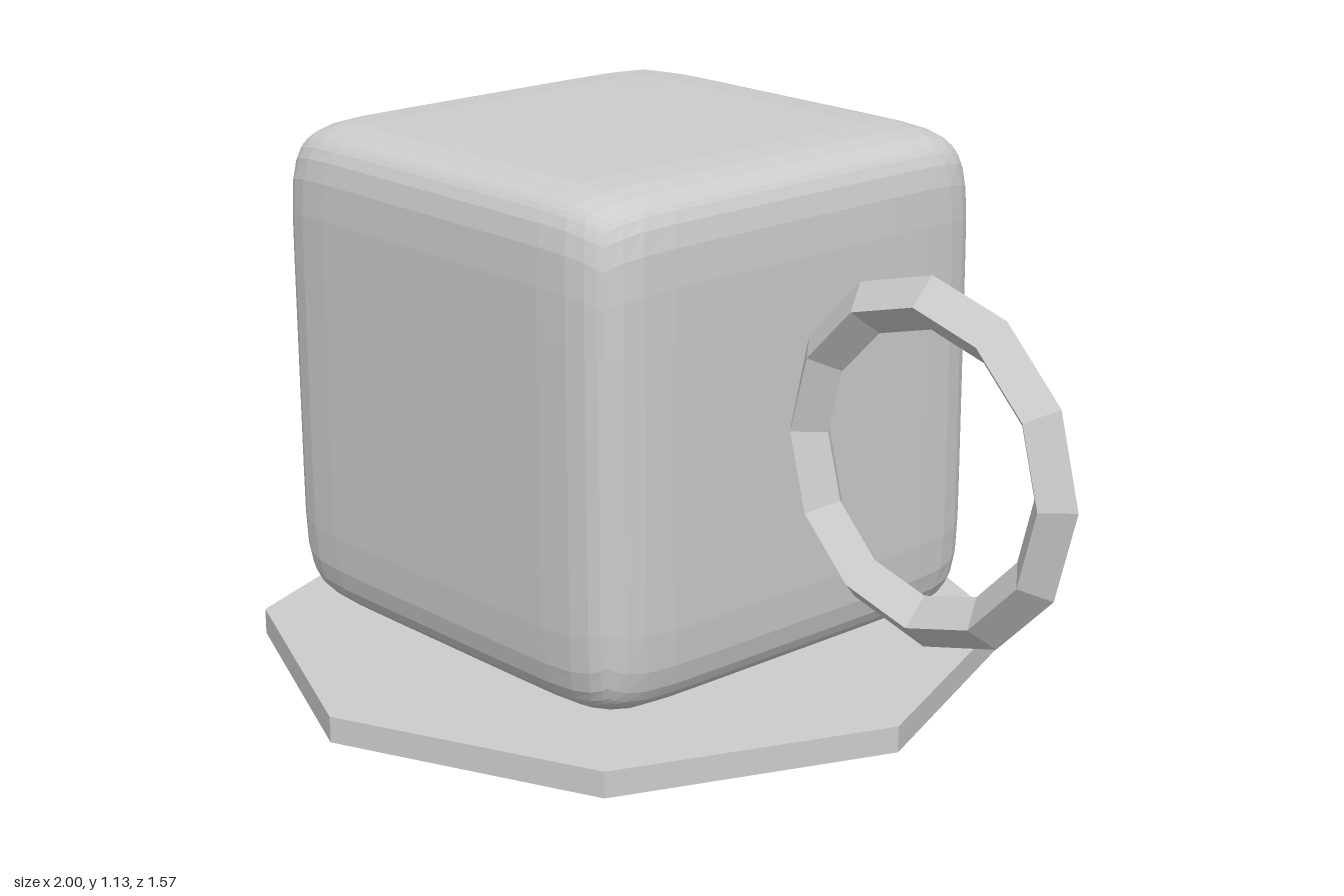
import * as THREE from 'three';

const grey = new THREE.MeshStandardMaterial({ color: 0xcccccc, flatShading: true });
grey.name = 'plain grey';

const CENTRE_X = -0.213;
const CENTRE_Y = 0.608;

// Cube with gently bulging faces and tight rounded edges (superellipsoid)
function bulgedCube(half, power) {
  const steps = [0, 0.45, 0.65, 0.8, 0.9, 0.965, 1];
  const n = steps.length - 1;
  const geometry = new THREE.BoxGeometry(2, 2, 2, 2 * n, 2 * n, 2 * n);
  const pos = geometry.attributes.position;
  // Crowd the grid lines towards the edges
  const remap = (v) => Math.sign(v) * steps[Math.round(Math.abs(v) * n)];
  for (let i = 0; i < pos.count; i++) {
    const p = [pos.getX(i), pos.getY(i), pos.getZ(i)].map(remap);
    const length = p.reduce((sum, v) => sum + Math.abs(v) ** power, 0) ** (1 / power);
    const s = half / length;
    pos.setXYZ(i, p[0] * s, p[1] * s, p[2] * s);
  }
  geometry.computeVertexNormals();
  return geometry;
}

export function createModel() {
  const model = new THREE.Group();
  model.name = 'cupAndSaucer';

  const add = (name, geometry, x, y) => {
    const mesh = new THREE.Mesh(geometry, grey);
    mesh.name = name;
    mesh.position.set(x, y, 0);
    model.add(mesh);
  };

  // Octagonal saucer
  add('saucer', new THREE.CylinderGeometry(0.787, 0.787, 0.055, 8), CENTRE_X, 0.0275);
  // Closed cup body, floating just above the saucer
  add('cupBody', bulgedCube(0.522, 10), CENTRE_X, CENTRE_Y);
  // Twelve-sided ring handle with a diamond section
  add('handle', new THREE.TorusGeometry(0.315, 0.052, 4, 12), 0.633, CENTRE_Y);

  return model;
}
